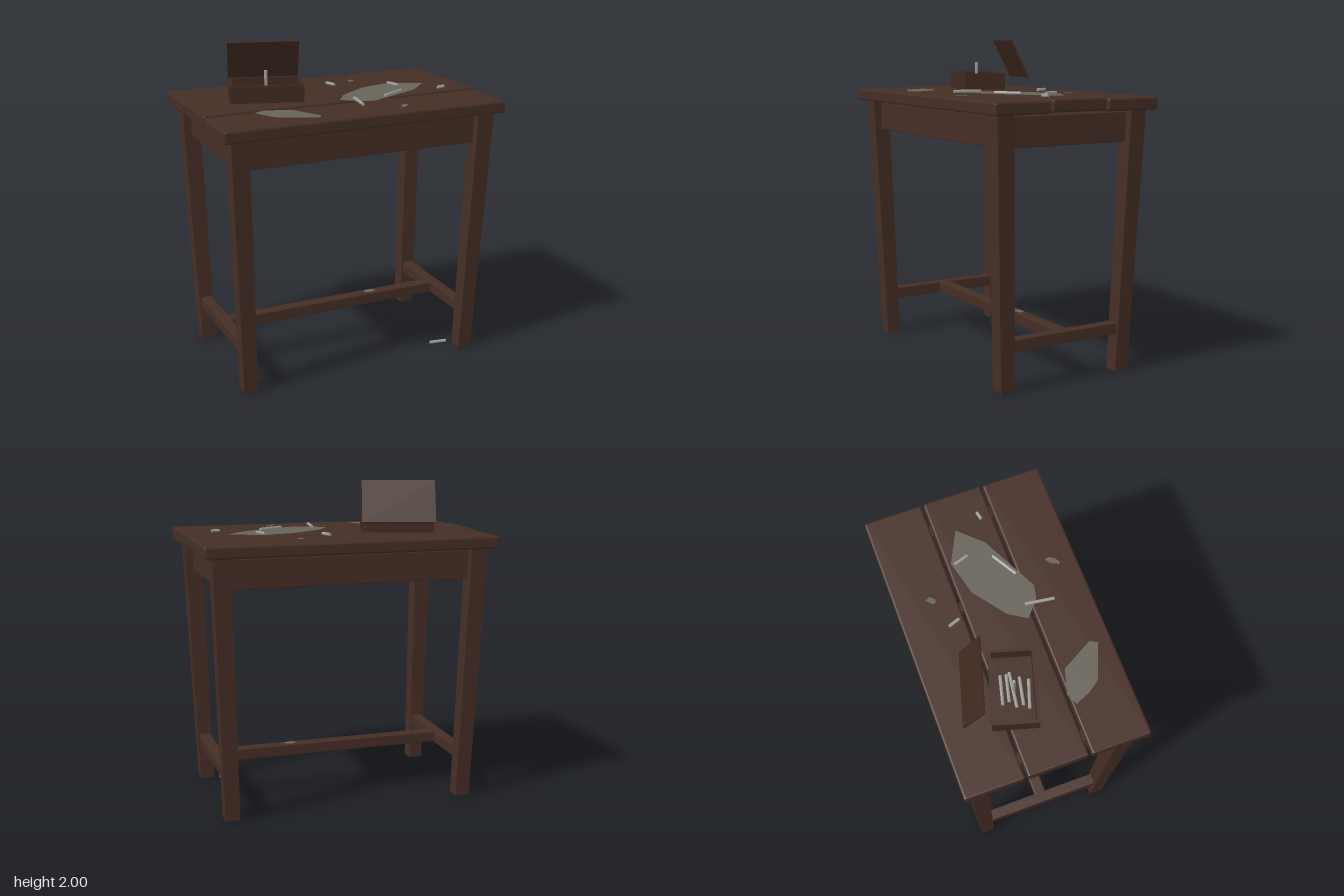
import * as THREE from 'three';
import { RoundedBoxGeometry } from 'three/addons/geometries/RoundedBoxGeometry.js';

const mat = (name, color, side = THREE.FrontSide) => {
  const m = new THREE.MeshStandardMaterial({ color, side });
  m.name = name;
  return m;
};

export function createModel() {
  const wood = mat('dark wood', 0x452e25);
  const boxWood = mat('box wood', 0x40281f);
  const chalk = mat('grey chalk', 0x9c9c98);
  const dust = mat('chalk dust', 0x66635a, THREE.DoubleSide);

  const model = new THREE.Group();
  model.name = 'writingTable';

  const add = (parent, name, geo, material, x = 0, y = 0, z = 0) => {
    const mesh = new THREE.Mesh(geo, material);
    mesh.name = name;
    mesh.position.set(x, y, z);
    parent.add(mesh);
    return mesh;
  };

  // Block with small chamfered edges
  const block = (w, h, d, bevel) => {
    const g = new RoundedBoxGeometry(w, h, d, 1, bevel);
    g.computeVertexNormals();
    return g;
  };

  // Tabletop planks: centre z, depth, centre y
  [['backPlank', -0.379, 0.36, 1.637], ['middlePlank', -0.003, 0.364, 1.644], ['frontPlank', 0.376, 0.36, 1.637]]
    .forEach(([name, z, d, y]) => add(model, name, block(1.802, 0.075, d, 0.012), wood, 0, y, z));

  // Splayed, tapered legs
  const legHeight = 1.6;
  const legGeometry = (sx, sz) => {
    const g = new RoundedBoxGeometry(1, legHeight, 1, 1, 0.012);
    const p = g.attributes.position;
    for (let i = 0; i < p.count; i++) {
      const t = p.getY(i) / legHeight + 0.5;
      const end = Math.min(t, 1 - t) < 0.002 ? 0.8 : 1;
      const w = (0.09 + 0.018 * t) * end;
      p.setXYZ(i,
        sx * (0.745 + 0.05 * t) + p.getX(i) * w,
        p.getY(i) + legHeight / 2 + 0.005,
        sz * (0.405 + 0.052 * t) + p.getZ(i) * w);
    }
    g.computeVertexNormals();
    return g;
  };
  for (const sx of [1, -1]) for (const sz of [1, -1])
    add(model, `${sz > 0 ? 'front' : 'back'}${sx > 0 ? 'Left' : 'Right'}Leg`, legGeometry(sx, sz), wood);

  // Aprons under the top
  for (const s of [1, -1]) {
    add(model, s > 0 ? 'frontApron' : 'backApron', block(1.52, 0.178, 0.065, 0.005), wood, 0, 1.498, s * 0.425);
    add(model, s > 0 ? 'leftApron' : 'rightApron', block(0.07, 0.178, 0.83, 0.005), wood, s * 0.76, 1.498, 0);
    add(model, s > 0 ? 'leftStretcher' : 'rightStretcher', block(0.07, 0.072, 0.76, 0.006), wood, s * 0.752, 0.277, 0);
  }
  add(model, 'longStretcher', block(1.46, 0.072, 0.075, 0.006), wood, 0, 0.28, 0);

  // Open wooden box
  const box = new THREE.Group();
  box.name = 'chalkBox';
  box.position.set(-0.41, 1.678, -0.09);
  box.rotation.y = -0.286;
  model.add(box);
  const W = 0.445, D = 0.268, H = 0.108, T = 0.018;
  add(box, 'boxFloor', new THREE.BoxGeometry(W - T, 0.014, D - T), boxWood, 0, 0.009, 0);
  for (const s of [1, -1]) {
    add(box, 'boxLongWall', new THREE.BoxGeometry(W, H, T), boxWood, 0, H / 2, s * (D - T) / 2);
    add(box, 'boxEndWall', new THREE.BoxGeometry(T, H, D - 2 * T), boxWood, s * (W - T) / 2, H / 2, 0);
  }

  // Raised lid leaning over the box
  const lid = add(box, 'boxLid', new THREE.BoxGeometry(W, 0.268, 0.012), boxWood, 0.005, 0.2, -0.231);
  lid.rotation.x = 0.455;

  // Chalk stick between two points
  const up = new THREE.Vector3(0, 1, 0);
  const stick = (name, a, b, r = 0.01) => {
    const from = new THREE.Vector3(...a), to = new THREE.Vector3(...b);
    const dir = to.clone().sub(from);
    const m = add(model, name, new THREE.CylinderGeometry(r, r, dir.length(), 8), chalk);
    m.position.copy(from).add(to).multiplyScalar(0.5);
    m.quaternion.setFromUnitVectors(up, dir.normalize());
  };

  // Sticks lying in the box: start x, z and end x, z
  [[-0.47, -0.175, -0.30, -0.13], [-0.465, -0.135, -0.305, -0.095], [-0.51, -0.105, -0.30, -0.075],
    [-0.51, -0.065, -0.345, -0.03], [-0.54, -0.04, -0.375, 0.015]]
    .forEach(([x1, z1, x2, z2]) => stick('boxedChalk', [x1, 1.703, z1], [x2, 1.703, z2]));
  stick('uprightChalk', [-0.41, 1.695, -0.087], [-0.408, 1.855, -0.087]);

  // Loose sticks on the tabletop
  [[0.07, 0.16, 0.045, 0.335], [0.27, 0.18, 0.425, 0.09], [0.45, -0.14, 0.48, -0.05],
    [0.68, 0.11, 0.73, 0.10], [0.09, -0.30, 0.115, -0.23]]
    .forEach(([x1, z1, x2, z2]) => stick('looseChalk', [x1, 1.69, z1], [x2, 1.69, z2]));

  // Stick dropped on the floor
  stick('fallenChalk', [0.56, 0.02, 0.32], [0.67, 0.02, 0.335]);

  // Flat dust patches given as x, z outlines
  const patch = (name, y, pts) => {
    const g = new THREE.ShapeGeometry(new THREE.Shape(pts.map(([x, z]) => new THREE.Vector2(x, -z))));
    g.rotateX(-Math.PI / 2);
    add(model, name, g, dust, 0, y, 0);
  };
  patch('largeDustPatch', 1.684, [[-0.02, 0.15], [0.05, 0.04], [0.25, -0.105], [0.465, -0.158],
    [0.663, -0.06], [0.528, 0.08], [0.165, 0.255], [0.08, 0.235]]);
  patch('frontDustPatch', 1.678, [[-0.6, 0.22], [-0.53, 0.19], [-0.38, 0.235], [-0.27, 0.43],
    [-0.295, 0.472], [-0.51, 0.385], [-0.56, 0.315]]);
  patch('backDustSpot', 1.678, [[0.26, -0.345], [0.295, -0.375], [0.31, -0.345], [0.28, -0.317], [0.26, -0.327]]);
  patch('frontDustSpot', 1.678, [[0.245, 0.443], [0.27, 0.395], [0.30, 0.375], [0.31, 0.4], [0.29, 0.433], [0.257, 0.453]]);
  patch('stretcherDustSpot', 0.319, [[0.22, 0.005], [0.25, -0.025], [0.30, -0.015], [0.31, 0.01], [0.26, 0.025]]);

  return model;
}
